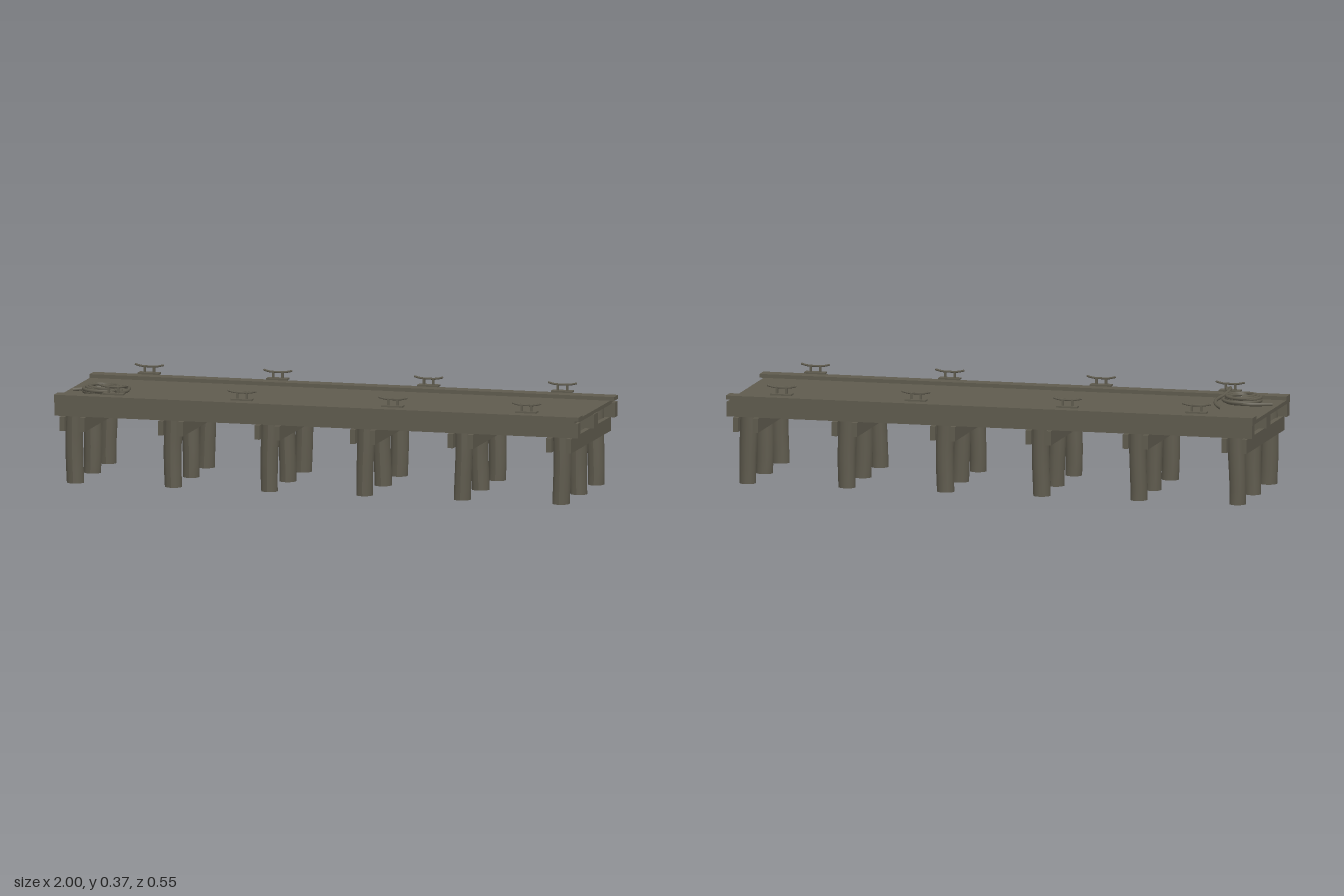
import * as THREE from 'three';

export function createModel() {
  const group = new THREE.Group();
  group.name = 'pier';
  const wood = new THREE.MeshStandardMaterial({ color: 0x5f5b4e });
  wood.name = 'weathered wood';

  const add = (parent, name, geometry, x = 0, y = 0, z = 0) => {
    const mesh = new THREE.Mesh(geometry, wood);
    mesh.name = name;
    mesh.position.set(x, y, z);
    parent.add(mesh);
    return mesh;
  };
  const box = (parent, name, w, h, d, x, y, z) =>
    add(parent, name, new THREE.BoxGeometry(w, h, d), x, y, z);

  // Deck and the raised plank along each long edge
  box(group, 'deck', 1.985, 0.014, 0.55, -0.0075, 0.308, 0);
  for (const side of [-1, 1]) {
    box(group, 'curb', 2, 0.014, 0.056, 0, 0.322, side * 0.247);
    box(group, 'outerStringer', 1.995, 0.055, 0.036, 0, 0.2785, side * 0.254);
  }
  box(group, 'middleStringer', 1.98, 0.052, 0.058, 0, 0.276, -0.003);

  // Slightly irregular wooden piles
  const makePile = (seed) => {
    const geo = new THREE.CylinderGeometry(0.034, 0.032, 0.302, 12, 6);
    const p = geo.attributes.position;
    for (let i = 0; i < p.count; i++) {
      const y = p.getY(i);
      const a = Math.atan2(p.getZ(i), p.getX(i));
      const s = 1 + 0.035 * Math.sin(2 * a + seed * 1.7 + y * 9);
      const drift = 0.003 * Math.sin(seed * 2.3 + y * 14);
      p.setXYZ(i, p.getX(i) * s + drift, y, p.getZ(i) * s);
    }
    geo.computeVertexNormals();
    return geo;
  };

  // Rows of three piles, clasped by a pair of cross beams
  [-0.93, -0.555, -0.187, 0.177, 0.55, 0.925].forEach((x, row) => {
    [-0.232, -0.003, 0.235].forEach((z, col) =>
      add(group, 'pile', makePile(row * 3 + col), x, 0.151, z));
    for (const side of [-1, 1])
      box(group, 'crossBeam', 0.02, 0.053, 0.552, x + side * 0.038, 0.2215, 0);
  });

  // Mooring cleats: base plate, two legs and a horn with upturned tips
  const hornPath = new THREE.CatmullRomCurve3([
    [-0.052, 0.369], [-0.03, 0.364], [0, 0.363], [0.03, 0.364], [0.052, 0.369],
  ].map(([x, y]) => new THREE.Vector3(x, y, 0)));
  const horn = new THREE.TubeGeometry(hornPath, 10, 0.004, 6, false);
  const tip = new THREE.SphereGeometry(0.004, 6, 4);
  for (const x of [-0.78, -0.29, 0.285, 0.795]) {
    for (const side of [-1, 1]) {
      const cleat = new THREE.Group();
      cleat.name = 'cleat';
      cleat.position.set(x, 0, side * 0.247);
      box(cleat, 'cleatBase', 0.08, 0.006, 0.032, 0, 0.338, 0);
      add(cleat, 'cleatHorn', horn);
      for (const e of [-1, 1]) {
        box(cleat, 'cleatLeg', 0.008, 0.026, 0.008, e * 0.018, 0.352, 0);
        add(cleat, 'hornTip', tip, e * 0.052, 0.369, 0);
      }
      group.add(cleat);
    }
  }

  // Coiled rope: loose end, stacked loops, then a line led up to the cleat
  const cx = -0.86, cz = 0.122;
  const points = [[-0.98, 0.32, 0.09], [-0.94, 0.322, 0.066], [-0.9, 0.323, 0.05]];
  const turns = 5, steps = 12;
  for (let i = 0; i <= turns * steps; i++) {
    const t = i / (turns * steps);
    const a = -Math.PI * 0.55 + (i / steps) * Math.PI * 2;
    const r = 0.07 - 0.02 * t - 0.008 * Math.sin(t * 21);
    points.push([cx + r * Math.cos(a), 0.323 + 0.023 * t, cz + r * Math.sin(a)]);
  }
  const toVectors = (list) => list.map((p) => new THREE.Vector3(...p));
  const rope = (name, list, segments) => add(group, name,
    new THREE.TubeGeometry(new THREE.CatmullRomCurve3(toVectors(list)), segments, 0.0065, 7, false));
  rope('ropeCoil', points, 260);
  rope('ropeLine', [
    [-0.82, 0.319, -0.036], [-0.79, 0.324, 0.005], [-0.772, 0.328, 0.06], [-0.766, 0.328, 0.12],
    [-0.775, 0.333, 0.18], [-0.785, 0.345, 0.222], [-0.782, 0.349, 0.243],
  ], 50);
  rope('ropeTail', [
    [-0.83, 0.33, 0.185], [-0.8, 0.332, 0.2], [-0.775, 0.342, 0.225], [-0.77, 0.348, 0.243],
  ], 24);

  return group;
}
